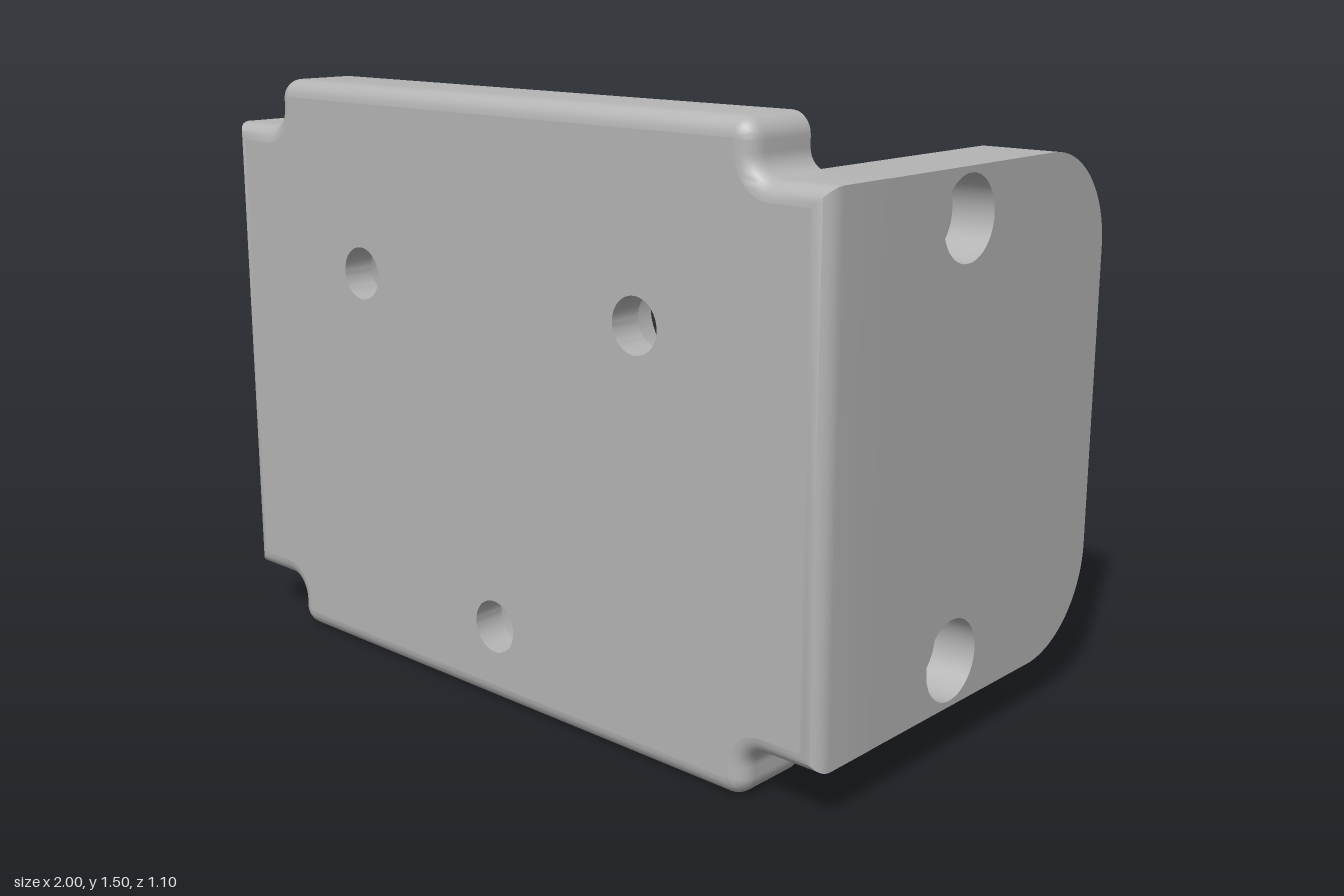
import * as THREE from 'three';
import { toCreasedNormals } from 'three/addons/utils/BufferGeometryUtils.js';

const BACK = 0.355, FRONT = 0.55;   // plate thickness range in z
const MID = 0.7525;                 // mid height of the bracket
const PLATE_HOLES = [[-0.475, 1.03], [0.475, 1.03], [0, 0.2]];

// Plate outline inset by d: wide body with a raised tab above and below
function plateOutline(d) {
  const quarter = [[1 - d, 0.628 - d]];
  for (let i = 0; i <= 8; i++) {
    const a = -Math.PI / 2 * (1 + i / 8);
    quarter.push([0.85 + (0.05 + d) * Math.cos(a), 0.678 + (0.05 + d) * Math.sin(a)]);
  }
  for (let i = 0; i <= 8; i++) {
    const a = Math.PI / 2 * i / 8;
    quarter.push([0.75 + (0.05 - d) * Math.cos(a), 0.7025 + (0.05 - d) * Math.sin(a)]);
  }
  const mirrored = quarter.slice().reverse();
  return [
    ...quarter,
    ...mirrored.map(([x, y]) => [-x, y]),
    ...quarter.map(([x, y]) => [-x, -y]),
    ...mirrored.map(([x, y]) => [x, -y]),
  ].map(([x, y]) => new THREE.Vector2(x, y + MID));
}

function circleHole(x, y, r) {
  return new THREE.Path().absarc(x, y, r, 0, Math.PI * 2, true);
}

// Flat face of the plate with round openings
function plateFace(d, holeRadius) {
  const shape = new THREE.Shape(plateOutline(d));
  PLATE_HOLES.forEach(([x, y]) => shape.holes.push(circleHole(x, y, holeRadius)));
  return new THREE.ShapeGeometry(shape, 24);
}

// Rim of the plate: straight sides with a rounded front edge
function plateRim(fillet) {
  const rings = [[0, BACK]];
  for (let i = 0; i <= 6; i++) {
    const a = Math.PI / 2 * i / 6;
    rings.push([fillet * (1 - Math.cos(a)), FRONT - fillet + fillet * Math.sin(a)]);
  }
  const positions = [], index = [];
  let n = 0;
  rings.forEach(([d, z]) => {
    const pts = plateOutline(d);
    n = pts.length;
    pts.forEach((p) => positions.push(p.x, p.y, z));
  });
  for (let k = 0; k < rings.length - 1; k++) {
    for (let i = 0; i < n; i++) {
      const a = k * n + i, b = k * n + (i + 1) % n;
      index.push(a, b, b + n, a, b + n, a + n);
    }
  }
  const geo = new THREE.BufferGeometry();
  geo.setAttribute('position', new THREE.Float32BufferAttribute(positions, 3));
  geo.setIndex(index);
  return toCreasedNormals(geo, 0.6);
}

// Side profile drawn with x = -z; a recess leaves only a C-shaped outline
const WING_START = -0.36, LOW = 0.125, HIGH = 1.38, R = 0.25, CORNER = 0.3;
function wingProfile(recess) {
  const s = new THREE.Shape();
  s.moveTo(WING_START, LOW);
  s.lineTo(CORNER, LOW);
  const a = recess ? Math.asin((recess.top - (HIGH - R)) / R) : 0;
  s.absarc(CORNER, LOW + R, R, -Math.PI / 2, -a, false);
  if (recess) {
    s.lineTo(recess.start, LOW + HIGH - recess.top);
    s.lineTo(recess.start, recess.top);
  }
  s.absarc(CORNER, HIGH - R, R, a, Math.PI / 2, false);
  s.lineTo(WING_START, HIGH);
  s.closePath();
  return s;
}

function wingLayer(profile, holeZ, holeRadius, x0, x1) {
  [0.24, 1.265].forEach((y) => profile.holes.push(circleHole(-holeZ, y, holeRadius)));
  const geo = new THREE.ExtrudeGeometry(profile, { depth: x1 - x0, bevelEnabled: false, curveSegments: 24 });
  geo.rotateY(Math.PI / 2).translate(x0, 0, 0);
  return toCreasedNormals(geo, 0.5);
}

export function createModel() {
  const model = new THREE.Group();
  model.name = 'mountingBracket';
  const grey = new THREE.MeshStandardMaterial({ color: 0xb4b4b4 });
  grey.name = 'grey';

  const add = (parent, name, geo) => {
    const mesh = new THREE.Mesh(geo, grey);
    mesh.name = name;
    parent.add(mesh);
    return mesh;
  };

  // Front plate
  const plate = new THREE.Group();
  plate.name = 'frontPlate';
  model.add(plate);
  const fillet = 0.045;
  add(plate, 'plateRim', plateRim(fillet));
  add(plate, 'plateFrontFace', plateFace(fillet, 0.067).translate(0, 0, FRONT));
  // turned about y, so the hole layout and outline mirror onto themselves
  add(plate, 'plateBackFace', plateFace(0, 0.13).rotateY(Math.PI).translate(0, 0, BACK));

  // Stepped screw holes, wide on the inside
  const step = BACK + 0.11;
  const bore = [[0.067, FRONT], [0.067, step], [0.13, step], [0.13, BACK]]
    .map(([r, z]) => new THREE.Vector2(r, z));
  PLATE_HOLES.forEach(([x, y]) => {
    const geo = new THREE.LatheGeometry(bore, 48).rotateX(Math.PI / 2).translate(x, y, 0);
    add(plate, 'plateScrewHole', toCreasedNormals(geo, 0.5));
  });

  // Side wings: outer skin with wide bores, inner layer with narrow bores and a recess
  const wings = [
    { name: 'leftWing', outer: [0.89, 1], inner: [0.8, 0.89], holeZ: 0.045,
      recess: { start: -BACK, top: 1.13 } },
    { name: 'rightWing', outer: [-1, -0.91], inner: [-0.91, -0.8], holeZ: 0.23,
      recess: { start: -0.1, top: 1.255 } },
  ];
  wings.forEach((w) => {
    const wing = new THREE.Group();
    wing.name = w.name;
    model.add(wing);
    add(wing, 'outerSkin', wingLayer(wingProfile(null), w.holeZ, 0.1, ...w.outer));
    add(wing, 'recessFrame', wingLayer(wingProfile(w.recess), w.holeZ, 0.05, ...w.inner));
  });

  return model;
}
